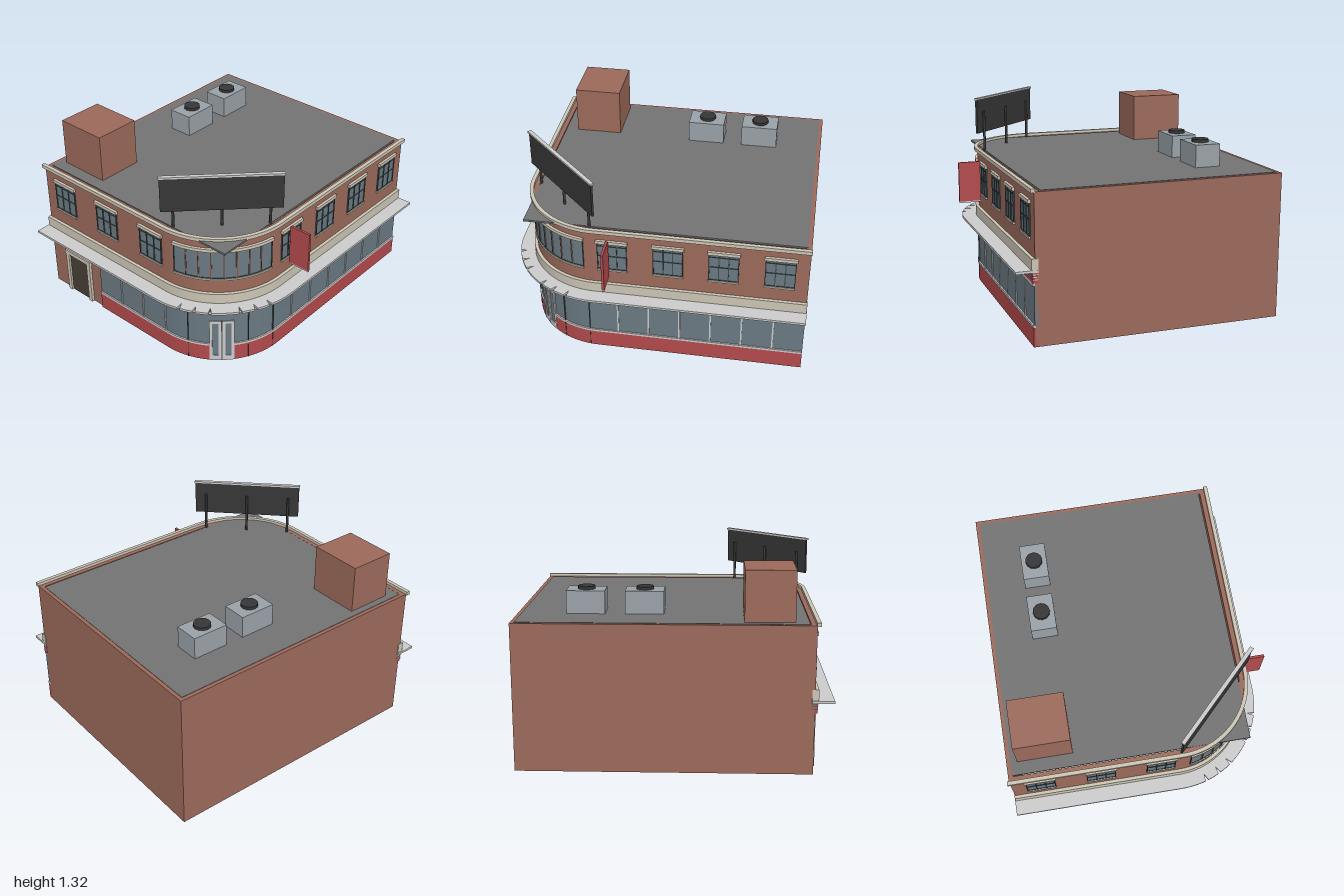
import * as THREE from 'three';
import { toCreasedNormals } from 'three/addons/utils/BufferGeometryUtils.js';

const mat = (color) => new THREE.MeshStandardMaterial({ color });
const brick = mat(0x9c6a5b), red = mat(0xb34a4c), glass = mat(0x6b7a83), cream = mat(0xcdc6b6);
const trim = mat(0xc2c3c6), dark = mat(0x363636), frame = mat(0x3d4a4c), roofGrey = mat(0x737374);
const unitGrey = mat(0x9aa2a8), olive = mat(0x453f36);

// Rounded street corner: centre and radius of the facade arc
const CX = -0.38, CZ = 0.23, R = 0.5;
// Facade stations: START..0 along the front, 0..1 round the corner, 1..END along the left side
const START = -1.37, END = 2.12;

function facadePoint(t, d) {
  if (t <= 0) return new THREE.Vector2(CX - t, -(CZ + R + d));
  if (t >= 1) return new THREE.Vector2(CX - R - d, -(CZ - (t - 1)));
  const a = t * Math.PI / 2;
  return new THREE.Vector2(CX - Math.sin(a) * (R + d), -(CZ + Math.cos(a) * (R + d)));
}

export function createModel() {
  const model = new THREE.Group();

  function add(name, geometry, material, x = 0, y = 0, z = 0, parent = model) {
    const mesh = new THREE.Mesh(geometry, material);
    mesh.name = name;
    mesh.position.set(x, y, z);
    parent.add(mesh);
    return mesh;
  }

  // Box given by its limits on each axis
  function block(name, material, x0, x1, y0, y1, z0, z1) {
    return add(name, new THREE.BoxGeometry(x1 - x0, y1 - y0, z1 - z0), material,
      (x0 + x1) / 2, (y0 + y1) / 2, (z0 + z1) / 2);
  }

  // Strip that follows the facade between two stations, offsets and heights
  function band(name, material, t0, t1, y0, y1, dIn, dOut, extra = []) {
    const outer = typeof dOut === 'function' ? dOut : () => dOut;
    const ts = [t0, t1, ...extra];
    for (let k = 0; k <= 32; k++) if (k / 32 > t0 && k / 32 < t1) ts.push(k / 32);
    ts.sort((a, b) => a - b);
    const points = ts.map((t) => facadePoint(t, outer(t)));
    points.push(...ts.reverse().map((t) => facadePoint(t, dIn)));
    const geometry = new THREE.ExtrudeGeometry(new THREE.Shape(points),
      { depth: y1 - y0, bevelEnabled: false });
    geometry.rotateX(-Math.PI / 2);
    return add(name, toCreasedNormals(geometry, 0.4), material, 0, y0, 0);
  }

  // Brick shell, open underneath, and the square roof deck
  band('facadeWall', brick, START, END, 0, 0.95, -0.035, 0);
  block('rightWall', brick, 0.955, 0.99, 0, 0.95, -0.89, 0.695);
  block('backWall', brick, -0.88, 0.99, 0, 0.95, -0.89, -0.855);
  block('roofDeck', roofGrey, -0.84, 0.965, 0.94, 0.953, -0.865, 0.685);
  band('coping', cream, START - 0.005, END + 0.01, 0.945, 0.97, -0.004, 0.022);

  // Shop front
  const shopEnd = 1.64, doorA = 0.42, doorB = 0.62;
  band('shopBase', red, START, doorA, 0, 0.125, -0.02, 0.012);
  band('shopBase', red, doorB, shopEnd, 0, 0.125, -0.02, 0.012);
  band('shopSill', trim, START, doorA, 0.122, 0.138, -0.02, 0.016);
  band('shopSill', trim, doorB, shopEnd, 0.122, 0.138, -0.02, 0.016);
  band('shopGlass', glass, START, shopEnd, 0.13, 0.385, -0.02, 0.006);
  band('shopHeader', trim, START, shopEnd, 0.38, 0.4, -0.02, 0.014);
  for (let i = 0; i < 6; i++) {
    const t = CX - (-0.235 + i * 0.205);
    band('shopMullion', trim, t - 0.005, t + 0.005, 0.13, 0.39, -0.02, 0.012);
  }
  for (const t of [1.02, 1.225, 1.43]) band('shopMullion', trim, t - 0.005, t + 0.005, 0.13, 0.39, -0.02, 0.012);
  for (const t of [0.06, 0.3, 0.8]) band('shopJoint', frame, t - 0.002, t + 0.002, 0, 0.4, -0.02, 0.015);

  // Striped fascia, canopy and cream belt
  band('fascia', red, START - 0.002, END, 0.398, 0.465, -0.02, 0.015);
  for (const y of [0.418, 0.434, 0.45]) band('fasciaStripe', trim, START - 0.003, END + 0.002, y, y + 0.005, -0.02, 0.018);
  const notches = [0.19, 0.295, 0.4, 0.6, 0.705, 0.81], w = 0.01;
  const canopyEdge = (t) => 0.12 - notches.reduce((s, n) => s + 0.05 * Math.max(0, 1 - Math.abs(t - n) / w), 0);
  band('canopy', trim, START - 0.005, END + 0.01, 0.464, 0.48, -0.02, canopyEdge,
    notches.flatMap((n) => [n - w, n, n + w]));
  band('creamBelt', cream, START - 0.004, END + 0.005, 0.48, 0.55, -0.02, 0.022);

  // Double door in the rounded corner
  band('cornerDoorGlass', glass, doorA, doorB, 0, 0.325, -0.02, 0.009);
  for (const [a, b] of [[doorA, 0.515], [0.525, doorB]]) {
    for (const [t0, t1] of [[a, a + 0.022], [b - 0.022, b]])
      band('cornerDoorStile', trim, t0, t1, 0, 0.325, -0.02, 0.014);
    for (const [y0, y1] of [[0, 0.04], [0.305, 0.325]])
      band('cornerDoorRail', trim, a, b, y0, y1, -0.02, 0.013);
  }
  band('cornerDoorGap', frame, 0.515, 0.525, 0, 0.325, -0.02, 0.011);

  // Service door on the left side
  band('sideDoor', olive, 1.74, 1.97, 0, 0.33, -0.02, 0.006);
  for (const t of [1.735, 1.945]) band('sideDoorJamb', cream, t, t + 0.03, 0, 0.33, -0.02, 0.02);
  band('sideDoorHead', cream, 1.73, 1.98, 0.31, 0.34, -0.02, 0.022);

  // Upper windows: glass, grid of bars, header and sill
  function upperWindow(t0, t1, columns, rows, lip) {
    band('windowGlass', glass, t0, t1, 0.66, 0.87, -0.04, 0.004);
    for (let i = 0; i <= columns; i++) {
      const t = t0 + (t1 - t0) * i / columns;
      band('windowBar', frame, t - 0.003, t + 0.003, 0.66, 0.87, -0.043, 0.009);
    }
    for (const y of rows) band('windowRail', frame, t0, t1, y - 0.003, y + 0.003, -0.042, 0.008);
    band('windowHeader', cream, t0 - lip, t1 + lip, 0.866, 0.888, -0.02, 0.018);
    band('windowSill', cream, t0 - lip / 2, t1 + lip / 2, 0.65, 0.662, -0.02, 0.014);
  }
  for (const x of [-0.26, 0.1, 0.455, 0.81]) upperWindow(CX - x - 0.093, CX - x + 0.093, 3, [0.663, 0.765, 0.842], 0.01);
  for (const z of [0.1, -0.3, -0.7]) upperWindow(1 + CZ - z - 0.093, 1 + CZ - z + 0.093, 3, [0.663, 0.765, 0.842], 0.01);
  // Bow of eight panes round the corner, with narrow brick piers
  upperWindow(0.088, 0.912, 8, [0.663], 0.008);
  for (let i = 1; i < 8; i++) {
    const t = 0.088 + 0.103 * i;
    band('windowPier', brick, t - 0.008, t + 0.008, 0.66, 0.87, -0.045, 0.007);
  }

  // Blade sign on the front
  block('bladeSign', red, -0.294, -0.278, 0.622, 0.897, 0.75, 0.9);
  block('bladeSignFoot', trim, -0.293, -0.279, 0.612, 0.623, 0.75, 0.9);

  // Billboard set diagonally above the corner
  const billboard = new THREE.Group();
  billboard.name = 'billboard';
  billboard.position.set(-0.632, 0, 0.48);
  billboard.rotation.y = -Math.PI / 4;
  model.add(billboard);
  add('billboardPanel', new THREE.BoxGeometry(0.755, 0.235, 0.014), dark, 0, 1.195, 0, billboard);
  add('billboardCap', new THREE.BoxGeometry(0.765, 0.012, 0.026), trim, 0, 1.317, 0, billboard);
  for (const x of [-0.3, 0, 0.3])
    add('billboardPost', new THREE.CylinderGeometry(0.009, 0.009, 0.28, 8), dark, x, 1.085, -0.014, billboard);

  // Roof hut and cooling units
  block('roofHut', brick, -0.755, -0.442, 0.94, 1.275, -0.82, -0.46);
  for (const x of [0.182, 0.555]) {
    block('coolingUnit', unitGrey, x - 0.123, x + 0.123, 0.945, 1.1, -0.61, -0.44);
    add('coolingFan', new THREE.CylinderGeometry(0.056, 0.056, 0.03, 12), dark, x, 1.105, -0.525);
  }
  return model;
}
